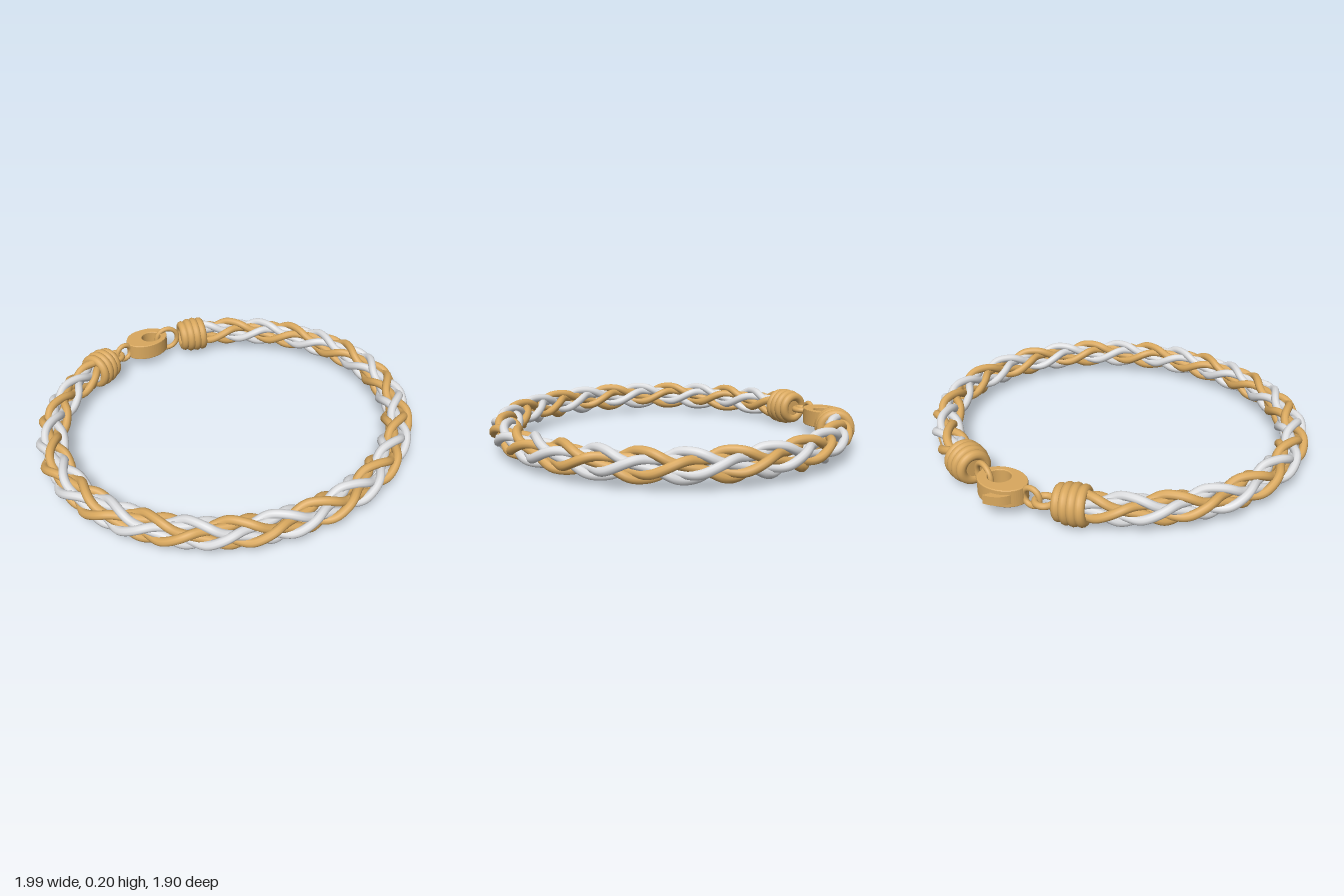
import * as THREE from 'three';

const gold = new THREE.MeshStandardMaterial({ color: 0xd9a85e });
gold.name = 'gold';
const silver = new THREE.MeshStandardMaterial({ color: 0xdcdddf });
silver.name = 'silver';

const MID = 0.1; // height of the band's centre line
const UP = new THREE.Vector3(0, 1, 0);

function add(parent, name, geometry, material = gold) {
  const mesh = new THREE.Mesh(geometry, material);
  mesh.name = name;
  parent.add(mesh);
  return mesh;
}

// Oval centre line, running from the right cap round the front to the left cap
function makeSpine() {
  const points = [];
  const start = 0.365, end = 2 * Math.PI - 0.285;
  for (let i = 0; i <= 72; i++) {
    const a = start + (end - start) * i / 72;
    points.push(new THREE.Vector3(0.918 * Math.sin(a), MID, 0.03 - 0.84 * Math.cos(a)));
  }
  const spine = new THREE.CatmullRomCurve3(points);
  spine.arcLengthDivisions = 600;
  return spine;
}

// Eight-strand plait: four strands wind each way; one set floats over the outer and
// inner faces, the other over the top and bottom, so they meet in Vs along the corners
function addBraid(group, spine) {
  const braid = new THREE.Group();
  braid.name = 'braid';
  const steps = 260;
  const turns = spine.getLength() / 0.76;
  const frames = [];
  for (let i = 0; i <= steps; i++) {
    const t = 0.002 + 0.996 * i / steps;
    const p = spine.getPointAt(t);
    const side = new THREE.Vector3().crossVectors(spine.getTangentAt(t), UP).normalize();
    // keep the sideways direction pointing out of the loop
    if (side.dot(p) < 0) side.negate();
    frames.push({ p, side, t });
  }
  for (const dir of [1, -1]) {
    for (let k = 0; k < 4; k++) {
      const phase = k * Math.PI / 2 + (dir > 0 ? Math.PI / 4 : 0);
      const path = frames.map(({ p, side, t }) => {
        const a = dir * 2 * Math.PI * turns * (t - 0.5) + phase;
        const s = Math.cos(2 * a);
        const r = 0.043 - dir * 0.0165 * s * (1.5 - 0.5 * s * s);
        return p.clone().addScaledVector(side, r * Math.cos(a)).addScaledVector(UP, r * Math.sin(a));
      });
      const tube = new THREE.TubeGeometry(new THREE.CatmullRomCurve3(path), 520, 0.0215, 10);
      add(braid, 'strand', tube, k % 2 ? silver : gold);
    }
  }
  group.add(braid);
}

// Coiled end cap; local +z points towards the clasp
function addCap(group, name, position, direction) {
  const cap = new THREE.Group();
  cap.name = name;
  const radii = [0.072, 0.075, 0.073, 0.064];
  radii.forEach((r, i) => {
    const coil = add(cap, 'coil', new THREE.TorusGeometry(r, 0.0245, 12, 40));
    coil.position.z = (i - 2) * 0.036;
    coil.rotation.x = 0.05;
  });
  const core = add(cap, 'capCore', new THREE.CylinderGeometry(0.06, 0.068, 0.1, 32));
  core.rotation.x = Math.PI / 2;
  core.position.z = -0.005;
  cap.position.copy(position);
  cap.lookAt(position.clone().add(direction));
  group.add(cap);
}

function addRing(group, name, x, z, radius, wire) {
  const ring = add(group, name, new THREE.TorusGeometry(radius, wire, 12, 36));
  ring.position.set(x, MID, z);
  return ring;
}

// Flat plate drawn in x and -z, centred on the band's height
function plate(shape, thickness, bevel) {
  const g = new THREE.ExtrudeGeometry(shape, {
    depth: thickness - 2 * bevel, bevelEnabled: bevel > 0, bevelSize: bevel,
    bevelThickness: bevel, bevelOffset: -bevel, bevelSegments: 3, curveSegments: 32,
  });
  g.rotateX(-Math.PI / 2);
  g.translate(0, MID - (thickness - 2 * bevel) / 2, 0);
  return g;
}

function addClasp(group) {
  const clasp = new THREE.Group();
  clasp.name = 'clasp';

  // hooked body with an off-centre opening
  const body = new THREE.Shape();
  body.absellipse(0.07, 0.825, 0.128, 0.096, 0, Math.PI * 2);
  const hole = new THREE.Path();
  hole.absellipse(0.095, 0.815, 0.057, 0.052, 0, Math.PI * 2, true);
  body.holes.push(hole);
  add(clasp, 'claspBody', plate(body, 0.088, 0.005));

  // thumb lever on the rear edge
  const lever = new THREE.Shape();
  lever.moveTo(-0.03, 0.88);
  lever.quadraticCurveTo(-0.01, 0.945, 0.08, 0.954);
  lever.lineTo(0.06, 0.925);
  lever.lineTo(0.075, 0.9);
  lever.lineTo(0.02, 0.87);
  add(clasp, 'claspLever', plate(lever, 0.045, 0));

  // flat loop on the left cap and the upright links either side of the body
  addRing(clasp, 'capLoop', -0.16, -0.818, 0.043, 0.016).rotation.x = Math.PI / 2;
  addRing(clasp, 'leftLink', -0.092, -0.824, 0.045, 0.014);
  addRing(clasp, 'rightLink', 0.2, -0.803, 0.063, 0.014).rotation.y = -0.33;
  group.add(clasp);
}

export function createModel() {
  const model = new THREE.Group();
  model.name = 'braidedBracelet';
  const spine = makeSpine();
  addBraid(model, spine);
  addCap(model, 'rightCap', spine.getPointAt(0), spine.getTangentAt(0).negate());
  addCap(model, 'leftCap', spine.getPointAt(1), spine.getTangentAt(1));
  addClasp(model);
  return model;
}
